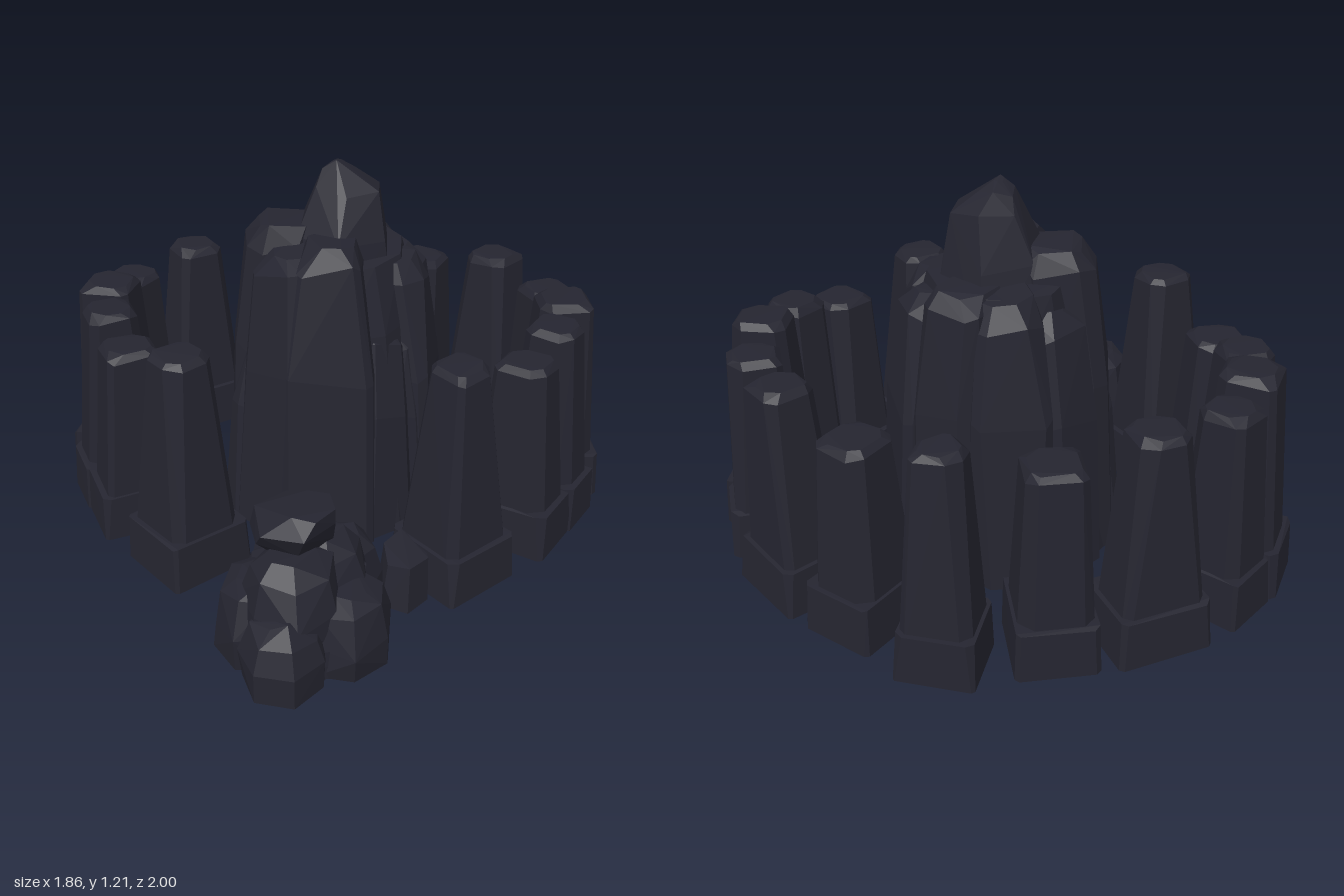
import * as THREE from 'three';
import { ConvexGeometry } from 'three/addons/geometries/ConvexGeometry.js';

const stone = new THREE.MeshStandardMaterial({ color: 0x252530, flatShading: true });
stone.name = 'dark stone';

// small seeded generator for the chipped edges
let seed = 11;
const rand = () => {
  seed = (seed * 16807) % 2147483647;
  return seed / 2147483647 - 0.5;
};

function addHull(parent, name, points) {
  const mesh = new THREE.Mesh(new ConvexGeometry(points), stone);
  mesh.name = name;
  parent.add(mesh);
  return mesh;
}

// faceted rock from stacked rings: [y, centre x, centre z, radius x, radius z]
function rock(parent, name, rings, sides = 7, chip = 0.12, turn = 0.3) {
  const points = [];
  rings.forEach(([y, cx, cz, rx, rz], k) => {
    for (let i = 0; i < sides; i++) {
      const a = turn + (i / sides) * Math.PI * 2;
      const s = 1 + rand() * chip;
      const lift = k === 0 ? 0 : rand() * chip * 0.25;
      points.push(new THREE.Vector3(cx + Math.cos(a) * rx * s, y + lift, cz + Math.sin(a) * rz * s));
    }
  });
  return addHull(parent, name, points);
}

// rectangular ring with clipped corners
function blockRing(y, w, d, cut, chip, z = 0) {
  const points = [];
  for (const sx of [-1, 1]) for (const sz of [-1, 1]) {
    const c = cut * (1 + rand());
    points.push(new THREE.Vector3(sx * (w / 2 - c), y + rand() * chip, z + sz * d / 2));
    points.push(new THREE.Vector3(sx * w / 2, y + rand() * chip, z + sz * (d / 2 - c)));
  }
  return points;
}

// tapered standing stone on a broad footing
function pillar(parent, [x, z, degrees, w, d, h, topW, topZ = 0]) {
  const group = new THREE.Group();
  group.name = 'pillar';
  group.position.set(x, 0, z);
  group.rotation.y = THREE.MathUtils.degToRad(degrees);
  addHull(group, 'footing', [
    ...blockRing(0, w, d, 0.012, 0),
    ...blockRing(0.155, w * 0.96, d * 0.96, 0.02, 0.015),
  ]);
  addHull(group, 'shaft', [
    ...blockRing(0.1, w * 0.9, d * 0.86, 0.03, 0),
    ...blockRing(h - 0.025, topW + 0.01, topW + 0.015, 0.03, 0.015, topZ),
    ...blockRing(h - 0.003, topW - 0.025, topW - 0.02, 0.03, 0.006, topZ),
  ]);
  parent.add(group);
}

// broad slab against the crag; reach is its distance out from the middle
function slab(parent, [degrees, reach, topReach, w, topW, h]) {
  const midReach = reach + (topReach - reach) * 0.4;
  const ring = (y, width, out, chip) => blockRing(y, width, out - 0.08, 0.04, chip, out / 2 + 0.04);
  const mesh = addHull(parent, 'slab', [
    ...ring(0, w, reach, 0),
    ...ring(h * 0.58, w * 0.93, midReach, 0.06),
    ...ring(h - 0.07, topW, topReach, 0.05),
    ...ring(h - 0.01, topW * 0.75, topReach - 0.045, 0.025),
  ]);
  mesh.rotation.y = THREE.MathUtils.degToRad(degrees);
}

export function createModel() {
  seed = 11;
  const model = new THREE.Group();
  model.name = 'rockFormation';

  // ring of pillars: x, z, outward angle, width, depth, height, top width, top offset
  const ring = new THREE.Group();
  ring.name = 'pillarRing';
  model.add(ring);
  pillar(ring, [0, -0.885, 180, 0.24, 0.23, 0.71, 0.135, -0.02]);
  const side = [
    [0.28, -0.748, 158, 0.25, 0.29, 0.64, 0.165, 0.015],
    [0.545, -0.63, 143, 0.3, 0.25, 0.71, 0.15, 0.01],
    [0.73, -0.42, 117, 0.21, 0.25, 0.68, 0.15],
    [0.77, -0.25, 98, 0.23, 0.3, 0.725, 0.16],
    [0.735, -0.075, 62, 0.2, 0.3, 0.705, 0.15],
    [0.64, 0.09, 62, 0.235, 0.3, 0.655, 0.155],
    [0.425, 0.325, 45, 0.285, 0.295, 0.755, 0.15],
  ];
  for (const s of [-1, 1]) for (const [x, z, angle, ...rest] of side) {
    pillar(ring, [s * x, z, s * angle, ...rest]);
  }
  rock(ring, 'cornerStone', [[0, 0.275, 0.45, 0.085, 0.11], [0.15, 0.28, 0.44, 0.075, 0.1]], 6);

  // central crag: core, pointed summit and surrounding slabs
  const crag = new THREE.Group();
  crag.name = 'centralCrag';
  crag.position.set(0.01, 0, -0.17);
  model.add(crag);
  rock(crag, 'core', [
    [0, 0, 0, 0.37, 0.36],
    [0.35, 0, 0, 0.33, 0.34],
    [0.7, 0, 0, 0.28, 0.3],
    [0.92, 0, 0, 0.22, 0.24],
  ], 11, 0.06);
  rock(crag, 'summit', [
    [0.72, 0.01, 0, 0.21, 0.23],
    [0.97, 0.02, 0.01, 0.165, 0.17],
    [1.12, 0.04, -0.005, 0.115, 0.105],
    [1.175, 0.01, 0, 0.06, 0.05],
    [1.205, 0.005, 0.01, 0.015, 0.02],
  ], 6, 0.08, 0.5);
  // outward angle, reach, top reach, width, top width, height
  const slabs = [
    [0, 0.385, 0.3, 0.32, 0.2, 1.01],
    [-35, 0.385, 0.31, 0.27, 0.2, 0.97],
    [-80, 0.365, 0.29, 0.28, 0.22, 1.02],
    [-122, 0.365, 0.29, 0.27, 0.2, 0.87],
    [-160, 0.365, 0.305, 0.26, 0.2, 0.93],
    [162, 0.365, 0.305, 0.26, 0.2, 0.94],
    [122, 0.375, 0.305, 0.27, 0.2, 0.9],
    [80, 0.365, 0.305, 0.28, 0.2, 0.91],
    [38, 0.37, 0.29, 0.24, 0.17, 0.73],
    [-60, 0.4, 0.32, 0.13, 0.09, 0.67],
    [98, 0.4, 0.32, 0.14, 0.1, 0.62],
    [58, 0.37, 0.3, 0.12, 0.08, 0.69],
  ];
  slabs.forEach((s) => slab(crag, s));

  // boulder heap in front
  const heap = new THREE.Group();
  heap.name = 'boulderHeap';
  model.add(heap);
  const boulders = [
    // x, z, radius x, radius z, bottom, top
    [-0.01, 0.63, 0.235, 0.28, 0, 0.25],
    [-0.05, 0.86, 0.13, 0.145, 0, 0.21],
    [0.12, 0.72, 0.135, 0.17, 0, 0.22],
    [-0.15, 0.7, 0.13, 0.17, 0, 0.24],
    [0.08, 0.5, 0.13, 0.14, 0, 0.25],
    [-0.08, 0.49, 0.13, 0.13, 0, 0.25],
    [-0.04, 0.75, 0.16, 0.17, 0.1, 0.34],
    [0.04, 0.62, 0.14, 0.14, 0.14, 0.33],
  ];
  for (const [x, z, rx, rz, y0, y1] of boulders) {
    const h = y1 - y0;
    rock(heap, 'boulder', [
      [y0, x, z, rx, rz],
      [y0 + h * 0.4, x, z, rx, rz],
      [y0 + h * 0.85, x, z, rx * 0.8, rz * 0.8],
      [y1, x, z, rx * 0.45, rz * 0.45],
    ], 7, 0.14, x * 11);
  }
  // tilted capstone
  rock(heap, 'capstone', [
    [0.28, -0.03, 0.6, 0.08, 0.1],
    [0.35, -0.06, 0.63, 0.13, 0.14],
    [0.41, -0.04, 0.66, 0.125, 0.14],
    [0.46, 0.01, 0.67, 0.07, 0.1],
  ], 6, 0.12, 0.2);

  return model;
}
